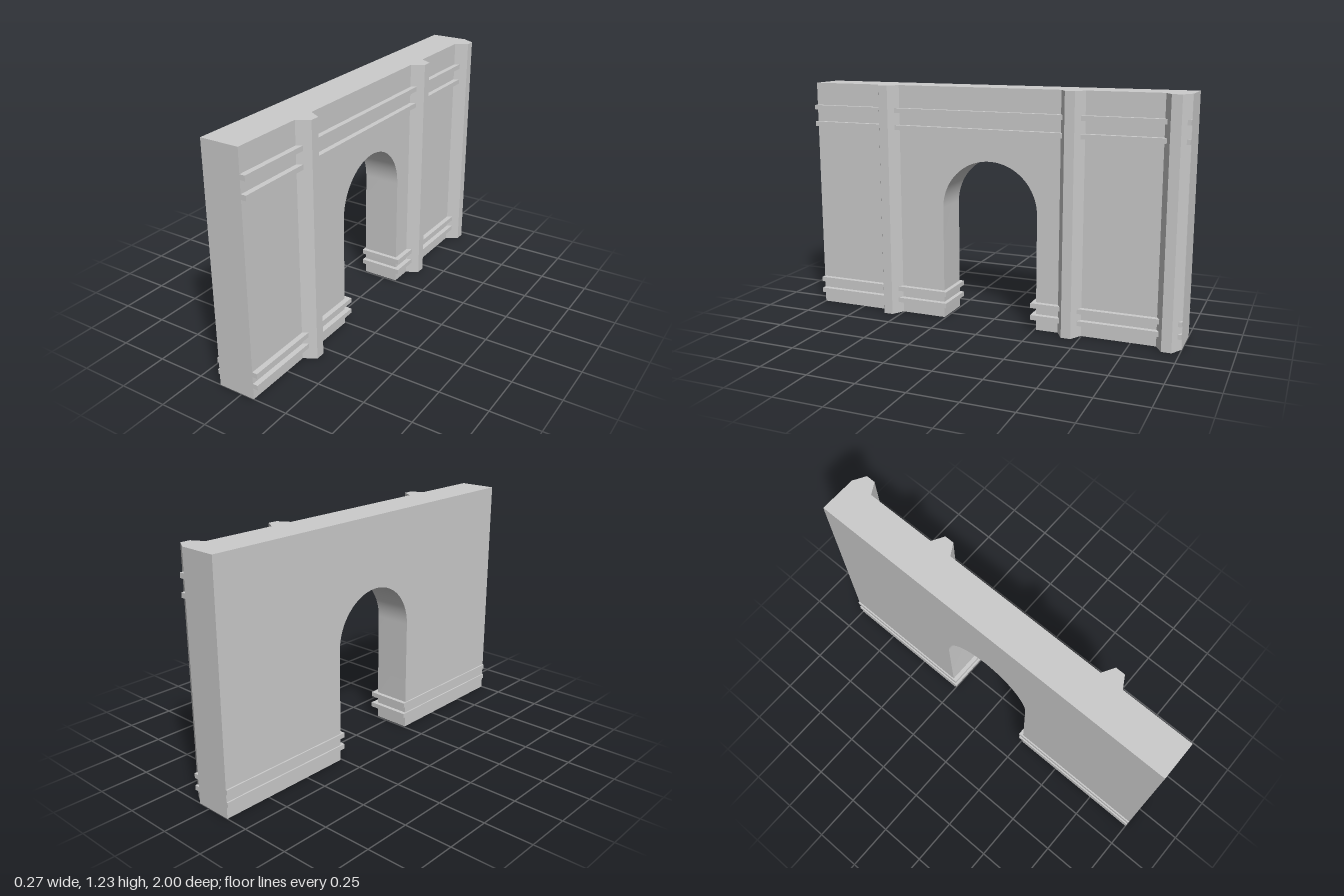
import * as THREE from 'three';
import { toCreasedNormals } from 'three/addons/utils/BufferGeometryUtils.js';

const HEIGHT = 1.225, BACK = -0.127, FACE = 0.07;
const ARCH_RADIUS = 0.258, SPRING = 0.597;

export function createModel() {
  const model = new THREE.Group();
  model.name = 'archedWall';
  const material = new THREE.MeshStandardMaterial({ color: 0xcccccc });

  const add = (name, geometry) => {
    const mesh = new THREE.Mesh(geometry, material);
    mesh.name = name;
    model.add(mesh);
    return mesh;
  };
  // Box given by its limits on each axis
  const addBox = (name, x0, x1, y0, y1, z0, z1) =>
    add(name, new THREE.BoxGeometry(x1 - x0, y1 - y0, z1 - z0))
      .position.set((x0 + x1) / 2, (y0 + y1) / 2, (z0 + z1) / 2);

  // Wall with a round-headed doorway, drawn along z and extruded along x
  const outline = new THREE.Shape();
  outline.moveTo(-1, 0);
  outline.lineTo(-ARCH_RADIUS, 0);
  outline.lineTo(-ARCH_RADIUS, SPRING);
  outline.absarc(0, SPRING, ARCH_RADIUS, Math.PI, 0, true);
  outline.lineTo(ARCH_RADIUS, 0);
  outline.lineTo(1, 0);
  outline.lineTo(1, HEIGHT);
  outline.lineTo(-1, HEIGHT);
  outline.closePath();
  const wall = new THREE.ExtrudeGeometry(outline, { depth: FACE - BACK, bevelEnabled: false, curveSegments: 32 });
  wall.rotateY(Math.PI / 2).translate(BACK, 0, 0);
  add('wall', toCreasedNormals(wall, 0.5));

  // Chamfered pilasters on the decorated face
  const section = new THREE.Shape([
    [FACE - 0.01, -0.061], [FACE, -0.061], [0.132, -0.025],
    [0.132, 0.025], [FACE, 0.061], [FACE - 0.01, 0.061],
  ].map(([x, y]) => new THREE.Vector2(x, y)));
  const pilaster = new THREE.ExtrudeGeometry(section, { depth: HEIGHT, bevelEnabled: false });
  pilaster.rotateX(-Math.PI / 2);
  for (const z of [0.565, -0.436, -0.937]) add('pilaster', pilaster).position.z = z;

  // Upper string courses run the whole length of the decorated face
  for (const y of [0.995, 1.083]) addBox('upperBand', FACE - 0.01, 0.097, y, y + 0.025, -1, 1);

  // Base courses wrap each pier: front face, doorway side and back face
  for (const y of [0.06, 0.123]) {
    addBox('baseBand', -0.135, 0.097, y, y + 0.025, 0.236, 1);
    addBox('baseBand', -0.135, 0.097, y, y + 0.025, -1, -0.236);
  }
  return model;
}
